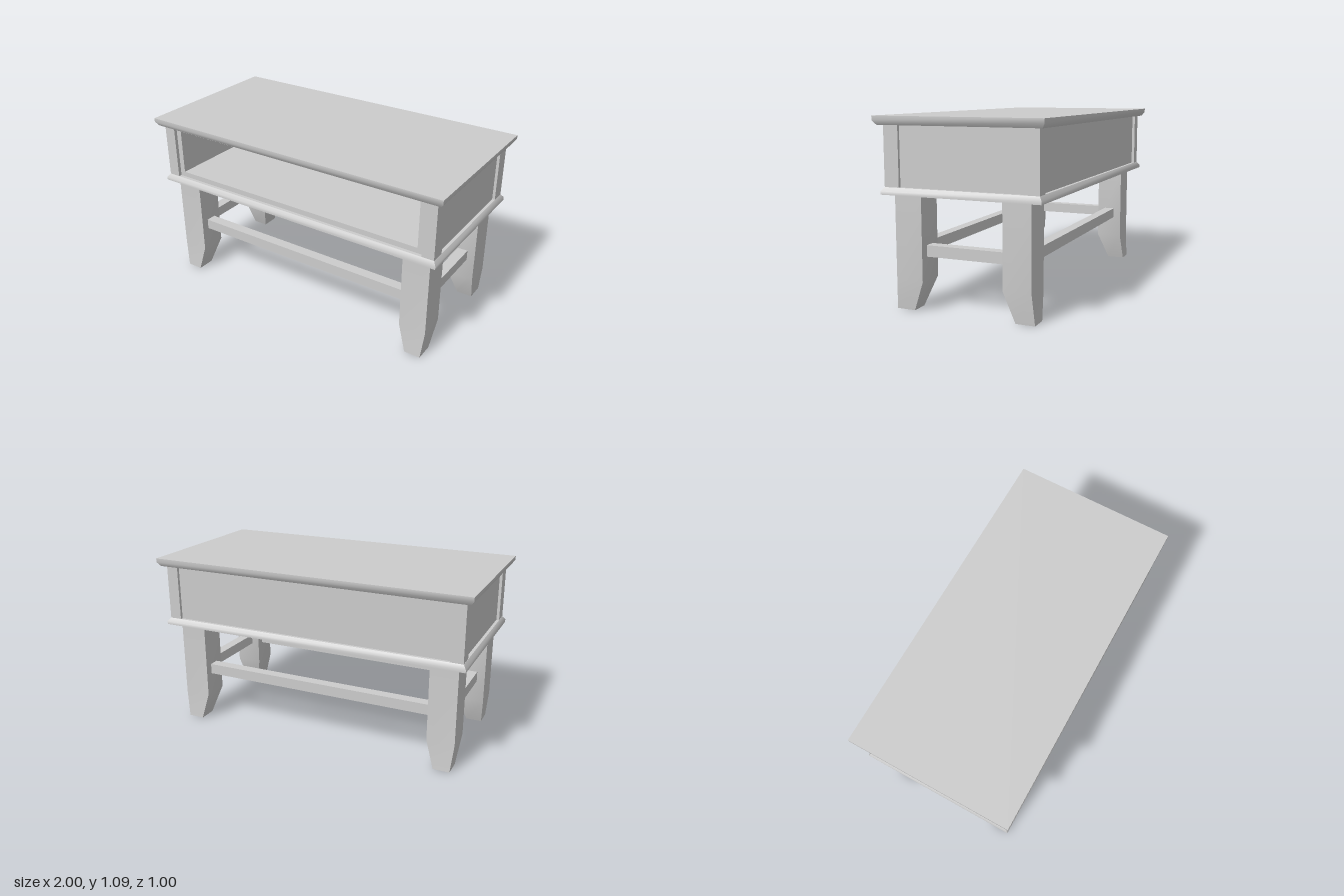
import * as THREE from 'three';
import { toCreasedNormals } from 'three/addons/utils/BufferGeometryUtils.js';

// Stack of rectangles [y, xMin, xMax, zMin, zMax], listed bottom to top, closed at both ends
function loft(levels) {
  const pos = [];
  const rings = levels.map(([y, x0, x1, z0, z1]) => [[x0, y, z1], [x1, y, z1], [x1, y, z0], [x0, y, z0]]);
  const quad = (a, b, c, d) => pos.push(...a, ...b, ...c, ...a, ...c, ...d);
  for (let i = 0; i < rings.length - 1; i++) {
    const lo = rings[i], hi = rings[i + 1];
    for (let k = 0; k < 4; k++) {
      const n = (k + 1) % 4;
      quad(lo[k], lo[n], hi[n], hi[k]);
    }
  }
  const top = rings[rings.length - 1], bottom = rings[0];
  quad(top[0], top[1], top[2], top[3]);
  quad(bottom[3], bottom[2], bottom[1], bottom[0]);
  const geo = new THREE.BufferGeometry();
  geo.setAttribute('position', new THREE.Float32BufferAttribute(pos, 3));
  return toCreasedNormals(geo, 0.8);
}

// Centred moulded slab from [y, halfWidth, halfDepth] levels
const slab = (levels) => loft(levels.map(([y, x, z]) => [y, -x, x, -z, z]));

export function createModel() {
  const grey = new THREE.MeshStandardMaterial({ color: 0xcccccc });
  grey.name = 'grey';
  const model = new THREE.Group();
  model.name = 'table';

  const add = (parent, name, geo, x = 0, y = 0, z = 0) => {
    const mesh = new THREE.Mesh(geo, grey);
    mesh.name = name;
    mesh.position.set(x, y, z);
    parent.add(mesh);
    return mesh;
  };
  const box = (parent, name, w, h, d, x, y, z) => add(parent, name, new THREE.BoxGeometry(w, h, d), x, y, z);

  // Tabletop with a chamfered underside
  add(model, 'tabletop', slab([[1.037, 0.982, 0.482], [1.063, 1, 0.5], [1.087, 1, 0.5]]));

  // Moulded base of the cabinet
  add(model, 'baseMoulding', slab([[0.656, 0.973, 0.475], [0.674, 0.973, 0.475], [0.697, 0.956, 0.458]]));

  // Cabinet shell, open at the front
  const W = 0.938, outline = new THREE.Shape();
  outline.moveTo(-W, 0.68).lineTo(W, 0.68).lineTo(W, 1.04).lineTo(-W, 1.04).closePath();
  const opening = new THREE.Path();
  opening.moveTo(-0.845, 0.73).lineTo(-0.845, 1.01).lineTo(0.845, 1.01).lineTo(0.845, 0.73).closePath();
  outline.holes.push(opening);
  add(model, 'cabinetShell', new THREE.ExtrudeGeometry(outline, { depth: 0.855, bevelEnabled: false }), 0, 0, -0.418);
  box(model, 'backPanel', 2 * W, 0.36, 0.022, 0, 0.86, -0.429);

  // Corner posts standing proud of the panels
  for (const sx of [-1, 1]) for (const sz of [-1, 1]) {
    box(model, 'cornerPost', 0.075, 0.35, 0.09, sx * 0.9175, 0.865, sz * 0.413);
  }

  // Legs and stretchers
  const base = new THREE.Group();
  base.name = 'legFrame';
  base.position.z = 0.01;
  model.add(base);
  const span = (s, a, b) => (s > 0 ? [a, b] : [-b, -a]);
  for (const sx of [-1, 1]) {
    for (const sz of [-1, 1]) {
      add(base, 'leg', loft([
        [0, ...span(sx, 0.8, 0.9), ...span(sz, 0.308, 0.42)],
        [0.172, ...span(sx, 0.75, 0.918), ...span(sz, 0.243, 0.408)],
        [0.66, ...span(sx, 0.75, 0.918), ...span(sz, 0.243, 0.408)],
      ]));
    }
    box(base, 'sideStretcher', 0.065, 0.065, 0.5, sx * 0.835, 0.339, 0);
    box(base, 'longStretcher', 1.52, 0.065, 0.065, 0, 0.339, sx * 0.326);
  }
  return model;
}
